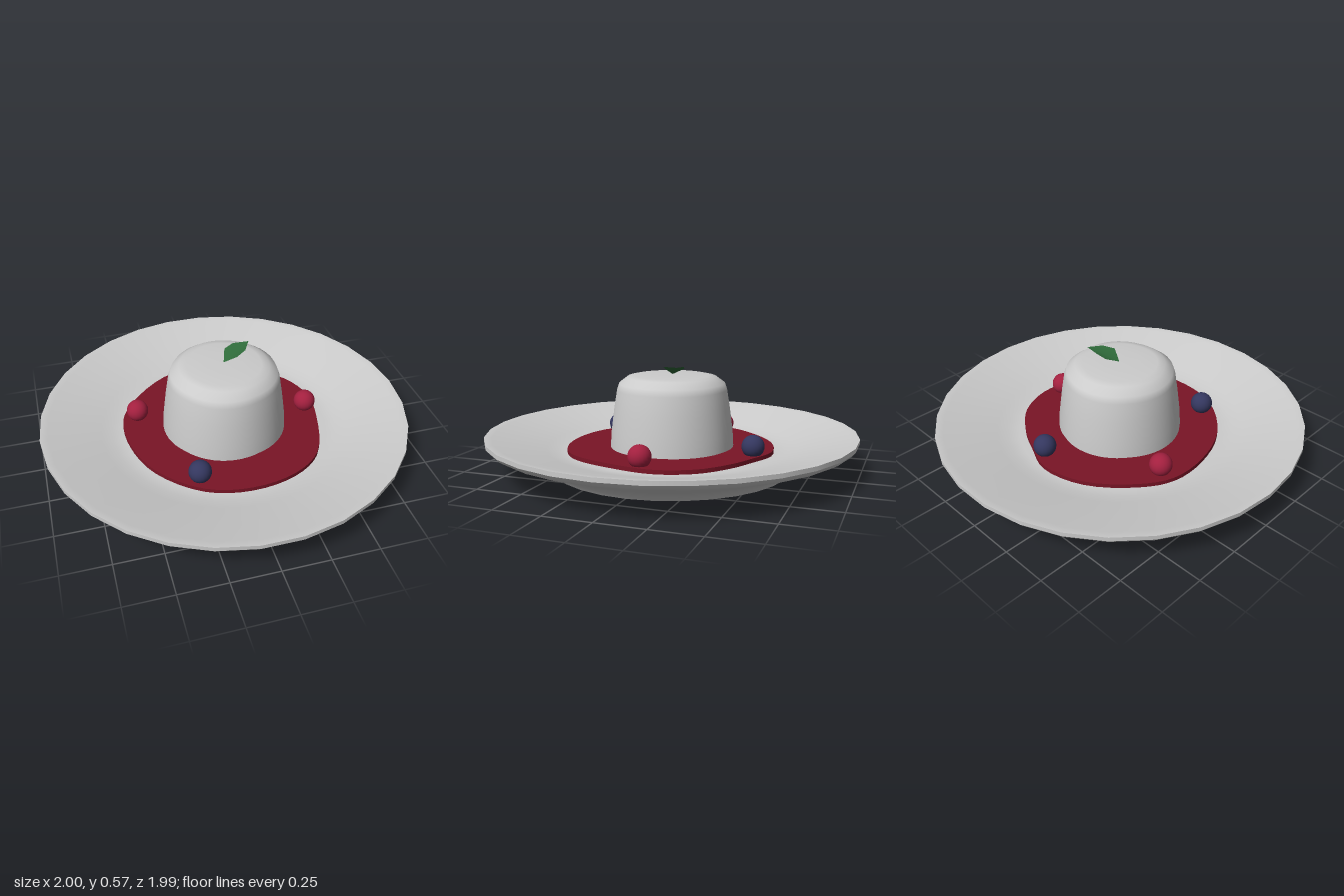
import * as THREE from 'three';

const paint = (color, extra = {}) => new THREE.MeshStandardMaterial({ color, ...extra });

function part(name, geometry, material) {
  const mesh = new THREE.Mesh(geometry, material);
  mesh.name = name;
  return mesh;
}

function lathe(points, segments) {
  return new THREE.LatheGeometry(points.map(([r, y]) => new THREE.Vector2(r, y)), segments, Math.PI / 2);
}

export function createModel() {
  const model = new THREE.Group();
  model.name = 'puddingDessert';
  const grey = paint(0xcccccc);

  // Plate: separate profiles keep the foot and lip edges sharp
  const plate = new THREE.Group();
  plate.name = 'plate';
  const profiles = {
    plateFoot: [[0, 0], [0.645, 0]],
    plateUnderside: [[0.645, 0], [0.66, 0.02], [0.7, 0.055], [0.96, 0.145], [0.985, 0.16], [1, 0.178]],
    plateLip: [[1, 0.178], [1, 0.2]],
    plateTop: [[1, 0.2], [0.96, 0.196], [0.68, 0.122], [0.62, 0.108], [0.56, 0.1], [0, 0.1]],
  };
  for (const [name, points] of Object.entries(profiles)) plate.add(part(name, lathe(points, 30), grey));
  model.add(plate);

  // Sauce pool with an uneven outline (x, z)
  const outline = [
    [0, -0.555], [0.17, -0.49], [0.31, -0.42], [0.46, -0.29], [0.535, -0.1], [0.51, 0.11],
    [0.405, 0.39], [0.245, 0.51], [0, 0.555], [-0.235, 0.5], [-0.45, 0.3], [-0.54, 0.06],
    [-0.54, -0.155], [-0.45, -0.315], [-0.235, -0.5],
  ].map(([x, z]) => new THREE.Vector3(x, -z, 0));
  const curve = new THREE.CatmullRomCurve3(outline, true);
  const shape = new THREE.Shape(curve.getPoints(60).slice(0, -1).map((p) => new THREE.Vector2(p.x, p.y)));
  const sauceGeometry = new THREE.ExtrudeGeometry(shape, { depth: 0.025, bevelEnabled: false });
  sauceGeometry.rotateX(-Math.PI / 2).translate(0, 0.097, 0);
  model.add(part('sauce', sauceGeometry, paint(0x7a1526)));

  // Moulded pudding with five very shallow lobes
  const puddingGeometry = lathe([
    [0.336, 0.1], [0.33, 0.2], [0.313, 0.33], [0.297, 0.43], [0.285, 0.465],
    [0.24, 0.498], [0.2, 0.506], [0.1, 0.51], [0, 0.511],
  ], 60);
  const pos = puddingGeometry.attributes.position;
  for (let i = 0; i < pos.count; i++) {
    const x = pos.getX(i), z = pos.getZ(i);
    const k = 0.99 + 0.018 * Math.abs(Math.sin(2.5 * Math.atan2(z, x)));
    pos.setX(i, x * k);
    pos.setZ(i, z * k);
  }
  model.add(part('pudding', puddingGeometry, grey));

  // Berries around the pudding
  const berryGeometry = new THREE.SphereGeometry(0.06, 20, 14);
  const red = paint(0xa3203f), blue = paint(0x34375f);
  [
    ['redBerryLeft', 0.475, -0.003, red],
    ['redBerryRight', -0.455, -0.165, red],
    ['blueBerryBack', 0.08, -0.475, blue],
    ['blueBerryFront', -0.24, 0.415, blue],
  ].forEach(([name, x, z, material]) => {
    const berry = part(name, berryGeometry, material);
    berry.position.set(x, 0.165, z);
    model.add(berry);
  });

  // Mint leaf: a thin curved sheet folded along its midrib
  const leafGeometry = new THREE.BufferGeometry();
  leafGeometry.setAttribute('position', new THREE.Float32BufferAttribute([
    0, 0.51, -0.005, 0.065, 0.552, 0.025, 0.12, 0.562, -0.01,
    0.16, 0.566, -0.085, 0.075, 0.562, -0.095, 0.025, 0.545, -0.08,
    0.07, 0.54, -0.04,
  ], 3));
  leafGeometry.setIndex([0, 1, 6, 1, 2, 6, 2, 3, 6, 3, 4, 6, 4, 5, 6, 5, 0, 6]);
  leafGeometry.computeVertexNormals();
  model.add(part('mintLeaf', leafGeometry, paint(0x2f6b3a, { side: THREE.DoubleSide })));

  return model;
}
